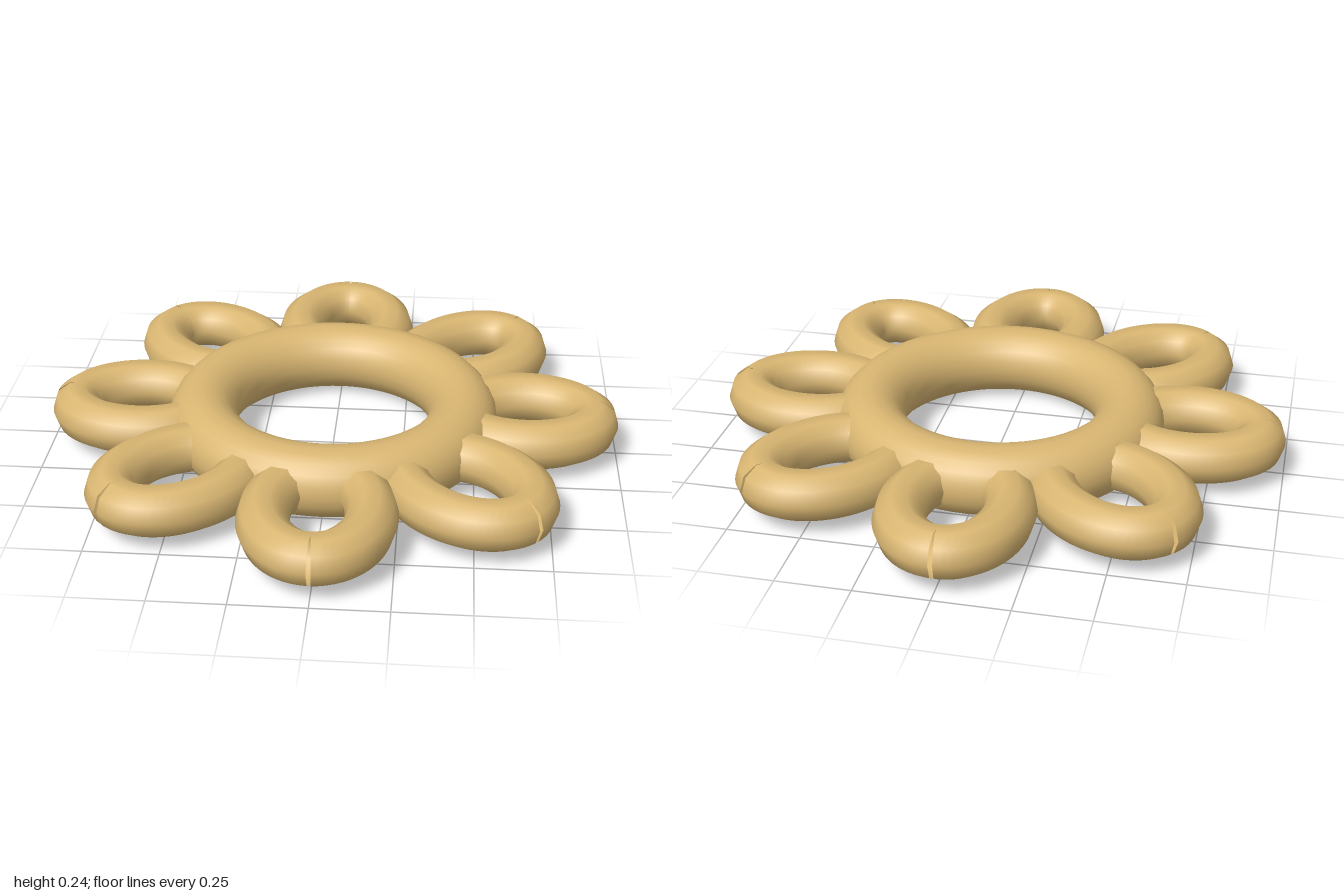
import * as THREE from 'three';

const TUBE = 0.0866, REACH = 0.24, HALF_WIDTH = 0.173, CENTRE = 0.673, MID_Y = 0.121;

// Oval loop of ten-sided tube, split at the outer tip where the two ends lean apart
function petalGeometry() {
  const steps = 64, sides = 10, lean = 0.09;
  const geo = new THREE.TorusGeometry(1, 0.3, sides, steps);
  const { position, normal, uv } = geo.attributes;
  for (let i = 0; i < position.count; i++) {
    const u = uv.getX(i) * Math.PI * 2, v = uv.getY(i) * Math.PI * 2;
    let across = Math.atan2(REACH * Math.sin(u), HALF_WIDTH * Math.cos(u));
    if (uv.getX(i) < 1e-4) across = lean;
    if (uv.getX(i) > 1 - 1e-4) across = -lean;
    const nx = Math.cos(across) * Math.cos(v);
    const nz = Math.sin(across) * Math.cos(v);
    const ny = Math.sin(v);
    position.setXYZ(i,
      CENTRE + REACH * Math.cos(u) + TUBE * nx,
      HALF_WIDTH * Math.sin(u) + TUBE * nz,
      TUBE * ny);
    normal.setXYZ(i, nx, nz, ny);
  }
  return geo.rotateX(-Math.PI / 2);
}

export function createModel() {
  const group = new THREE.Group();
  group.name = 'flowerRing';
  const gold = new THREE.MeshStandardMaterial({ color: 0xd9b672, side: THREE.DoubleSide });
  gold.name = 'warm gold';

  // Central ring
  const ring = new THREE.Mesh(new THREE.TorusGeometry(0.456, 0.121, 20, 72).rotateX(-Math.PI / 2), gold);
  ring.name = 'centreRing';
  ring.position.y = MID_Y;
  group.add(ring);

  // Eight looped petals around the ring
  const petalGeo = petalGeometry();
  for (let i = 0; i < 8; i++) {
    const petal = new THREE.Mesh(petalGeo, gold);
    petal.name = `petalLoop${i + 1}`;
    petal.position.y = MID_Y;
    petal.rotation.y = i * Math.PI / 4;
    group.add(petal);
  }
  return group;
}
